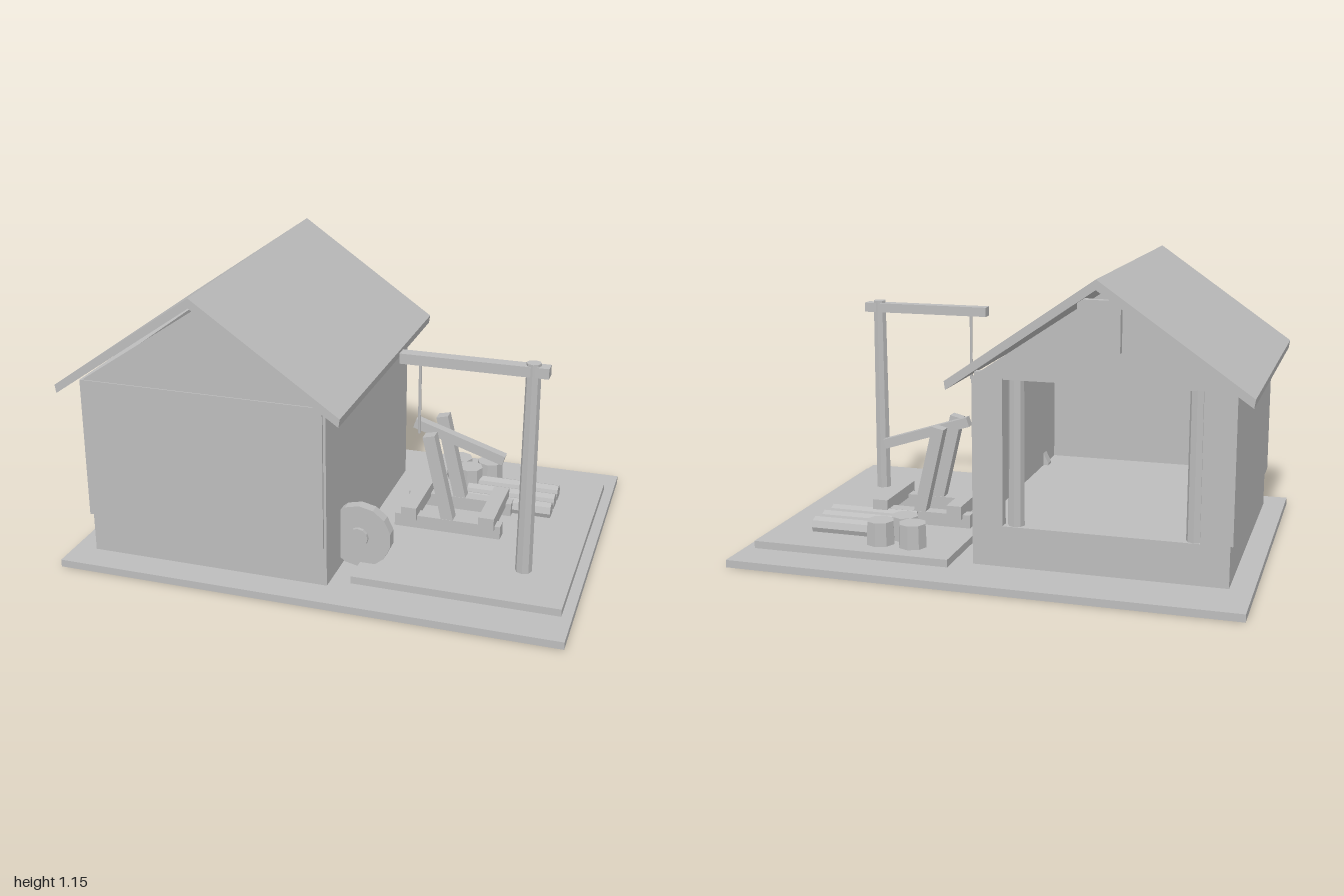
import * as THREE from 'three';

const CX = -0.42; // ridge line of the house

export function createModel() {
  const group = new THREE.Group();
  const grey = new THREE.MeshStandardMaterial({ color: 0xbcbcbc });
  grey.name = 'plain grey';
  grey.flatShading = true;

  const add = (name, geo) => {
    const mesh = new THREE.Mesh(geo, grey);
    mesh.name = name;
    group.add(mesh);
    return mesh;
  };
  // box given by its limits on each axis
  const box = (name, x0, x1, y0, y1, z0, z1) => {
    const m = add(name, new THREE.BoxGeometry(x1 - x0, y1 - y0, z1 - z0));
    m.position.set((x0 + x1) / 2, (y0 + y1) / 2, (z0 + z1) / 2);
    return m;
  };
  const post = (name, x, z, y0, y1, rTop, rBottom, sides = 8) => {
    const m = add(name, new THREE.CylinderGeometry(rTop, rBottom, y1 - y0, sides));
    m.position.set(x, (y0 + y1) / 2, z);
    return m;
  };
  // outline in x and y, extruded from z0 to z1
  const prism = (name, points, z0, z1, hole) => {
    const shape = new THREE.Shape(points.map(p => new THREE.Vector2(...p)));
    if (hole) shape.holes.push(new THREE.Path(hole.map(p => new THREE.Vector2(...p))));
    const geo = new THREE.ExtrudeGeometry(shape, { depth: z1 - z0, bevelEnabled: false });
    geo.translate(0, 0, z0);
    return add(name, geo);
  };
  // slanted timber between two points in the x-y plane
  const timber = (name, a, b, thick, z, width) => {
    const dx = b[0] - a[0], dy = b[1] - a[1];
    const m = add(name, new THREE.BoxGeometry(Math.hypot(dx, dy), thick, width));
    m.position.set((a[0] + b[0]) / 2, (a[1] + b[1]) / 2, z);
    m.rotation.z = Math.atan2(dy, dx);
    return m;
  };

  // ground and work yard
  box('ground', -1, 1, 0, 0.03, -0.73, 0.73);
  box('yard', 0.15, 0.96, 0.03, 0.06, -0.57, 0.56);

  // house body
  box('foundation', -0.91, 0.07, 0.03, 0.19, -0.5, 0.605);
  box('sideWall', -0.92, -0.89, 0.19, 0.76, -0.5, 0.605);
  box('sideWall', 0.04, 0.07, 0.19, 0.76, -0.5, 0.605);
  box('frontWall', -0.92, 0.06, 0.19, 0.76, 0.575, 0.615);
  prism('frontGable', [[-0.91, 0.76], [0.07, 0.76], [CX, 1.09]], 0.575, 0.61);

  // open back with jambs, gable, door posts and vent
  box('jamb', -0.89, -0.8, 0.19, 0.76, -0.5, -0.46);
  box('jamb', -0.05, 0.04, 0.19, 0.76, -0.5, -0.46);
  prism('backGable', [[-0.91, 0.76], [0.07, 0.76], [CX, 1.09]], -0.5, -0.46);
  box('lintel', -0.9, 0.06, 0.755, 0.78, -0.495, -0.465);
  for (const x of [-0.775, -0.095]) post('doorPost', x, -0.465, 0.19, 0.77, 0.03, 0.032);
  box('vent', CX - 0.08, CX + 0.08, 0.88, 1.07, -0.53, -0.49);

  // roof
  prism('roof', [
    [CX, 1.15], [-0.99, 0.755], [-0.985, 0.722], [CX, 1.112], [0.145, 0.722], [0.15, 0.755],
  ], -0.58, 0.68);

  // grindstone on the house wall
  for (const [name, r, z0, z1, n] of [['grindstone', 0.13, 0.395, 0.44, 14], ['hub', 0.04, 0.39, 0.455, 12]]) {
    const m = add(name, new THREE.CylinderGeometry(r, r, z1 - z0, n));
    m.rotation.x = Math.PI / 2;
    m.position.set(0.145, 0.17, (z0 + z1) / 2);
  }

  // hoist
  post('hoistPost', 0.77, 0.31, 0.06, 0.91, 0.028, 0.033);
  box('hoistArm', 0.27, 0.83, 0.86, 0.9, 0.285, 0.335);
  post('rope', 0.345, 0.31, 0.58, 0.86, 0.006, 0.006, 6);

  // lever frame
  for (const z of [0.065, -0.155]) {
    box('rail', 0.19, 0.63, 0.06, 0.115, z - 0.027, z + 0.027);
    timber('upright', [0.41, 0.11], [0.325, 0.47], 0.05, z, 0.05);
  }
  for (const x of [0.253, 0.575]) box('crossbeam', x - 0.032, x + 0.032, 0.1, 0.155, -0.2, 0.11);
  timber('lever', [0.238, 0.475], [0.61, 0.355], 0.04, -0.04, 0.04);

  // logs and stumps
  for (const z of [-0.19, -0.278, -0.366]) {
    const m = add('log', new THREE.CylinderGeometry(0.037, 0.037, 0.375, 8));
    m.rotation.z = Math.PI / 2;
    m.position.set(0.6025, 0.08, z);
  }
  for (const [x, z] of [[0.335, -0.45], [0.47, -0.45], [0.4, -0.365]]) {
    post('stump', x, z, 0.06, 0.155, 0.055, 0.058);
  }

  return group;
}
